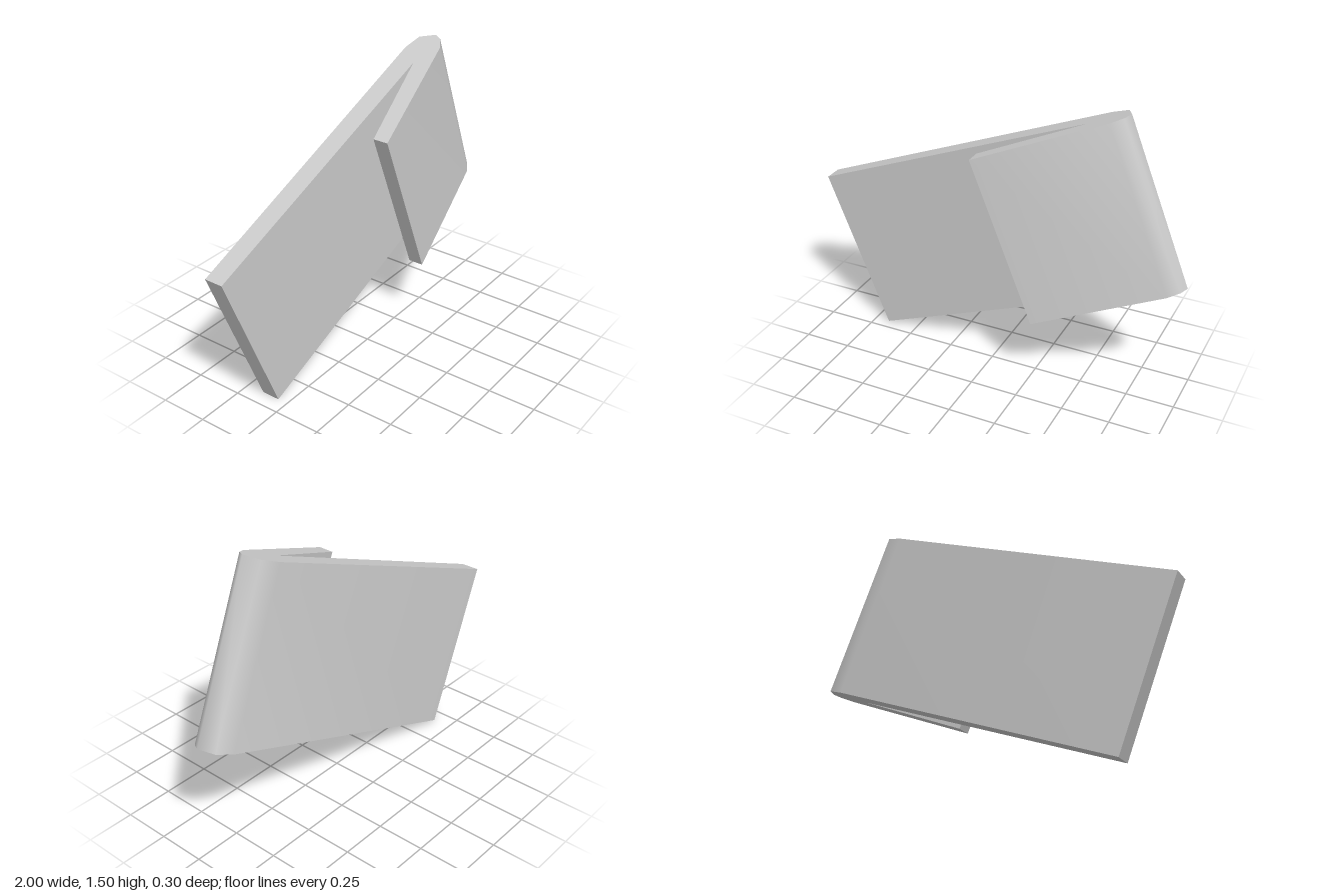
import * as THREE from 'three';
import { toCreasedNormals } from 'three/addons/utils/BufferGeometryUtils.js';

export function createModel() {
  const model = new THREE.Group();
  model.name = 'foldedClip';

  // Cross-section of the folded strip: x along the strip, y through its thickness
  const profile = [
    [0, -0.152], [1.66, -0.152],                                      // back of long plate
    [1.755, -0.127], [1.796, -0.05], [1.772, -0.01], [1.712, 0.025],  // rounded fold
    [1.023, 0.152], [1.023, 0.072],                                   // short front flap
    [1.57, -0.045], [0, -0.055],                                      // inner crease, front of long plate
  ].map(([u, t]) => new THREE.Vector2(u, t));

  const width = 0.893;
  const extruded = new THREE.ExtrudeGeometry(new THREE.Shape(profile), { depth: width, bevelEnabled: false });
  const geometry = toCreasedNormals(extruded, 1.1);

  // Tilt the strip and run its width downwards
  const tilt = 0.38, c = Math.cos(tilt), s = Math.sin(tilt);
  geometry.applyMatrix4(new THREE.Matrix4()
    .makeBasis(new THREE.Vector3(c, s, 0), new THREE.Vector3(0, 0, 1), new THREE.Vector3(s, -c, 0))
    .setPosition(-1, width * c, 0));

  const strip = new THREE.Mesh(geometry, new THREE.MeshStandardMaterial({ color: 0xcccccc }));
  strip.name = 'foldedStrip';
  model.add(strip);
  return model;
}
